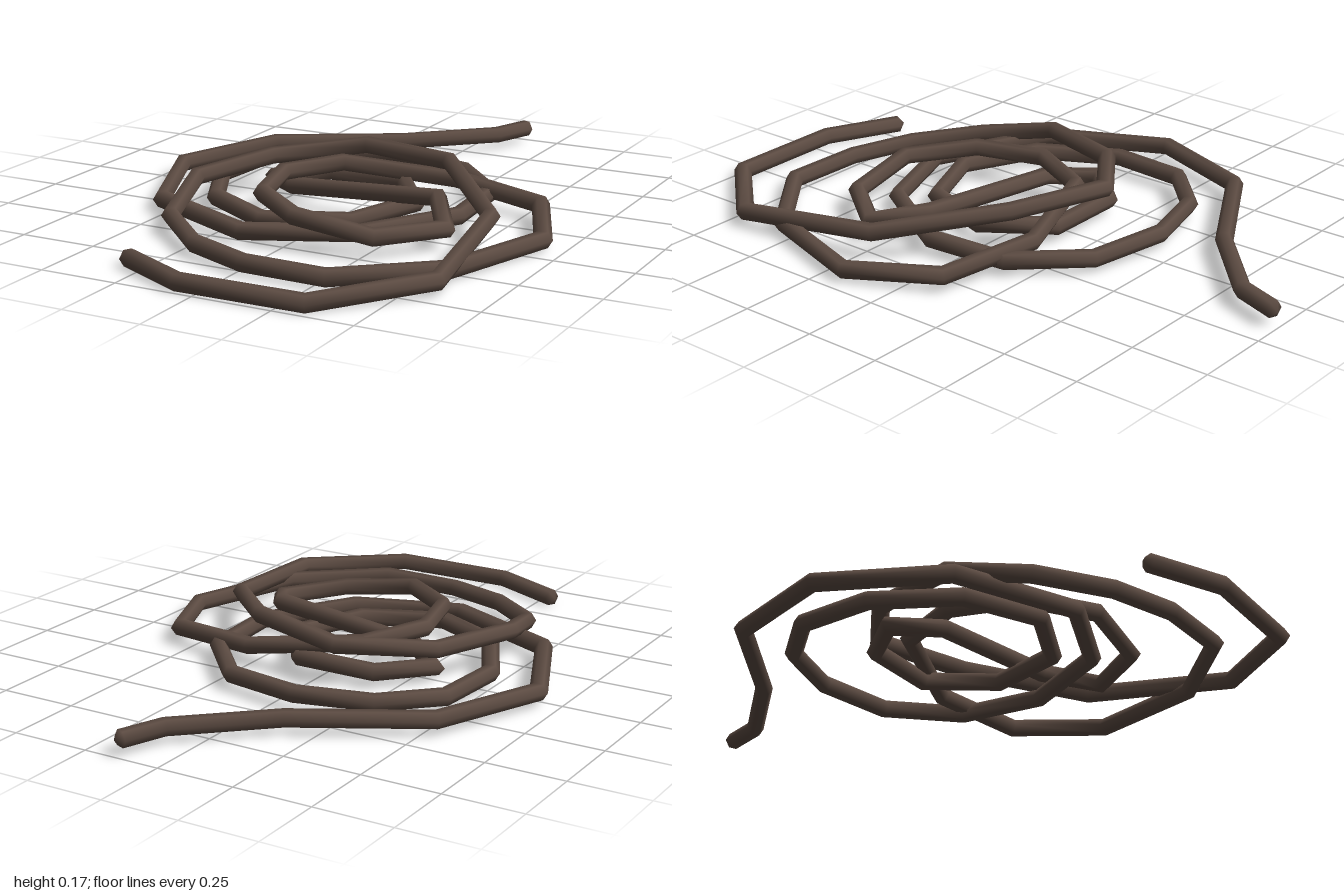
import * as THREE from 'three';

const RADIUS = 0.028, SIDES = 6;

// Centre line of the rope, x, y, z, from the back tail to the front tail
const PATH = [
  // back tail and wide lower loop
  [0.142, 0.05, -0.978], [0.09, 0.05, -0.84], [-0.16, 0.05, -0.61], [-0.54, 0.05, -0.395],
  [-0.685, 0.045, -0.03], [-0.52, 0.04, 0.347], [-0.13, 0.04, 0.525], [0.2, 0.045, 0.395],
  [0.38, 0.045, 0.1], [0.36, 0.045, -0.18], [0.18, 0.045, -0.375], [-0.08, 0.05, -0.43],
  // inner lower spiral
  [-0.32, 0.05, -0.37], [-0.475, 0.05, -0.22], [-0.495, 0.05, 0.03], [-0.365, 0.05, 0.28],
  [-0.13, 0.045, 0.405], [0.12, 0.045, 0.3], [0.212, 0.05, 0.05], [0.075, 0.05, -0.15],
  [-0.19, 0.05, -0.15], [-0.32, 0.05, -0.015],
  // strand across the middle and raised small loop
  [-0.19, 0.065, 0.1], [0.33, 0.105, 0.14], [0.43, 0.065, 0.3], [0.29, 0.07, 0.485],
  [0.04, 0.105, 0.505], [-0.15, 0.112, 0.36], [-0.21, 0.115, 0.13], [-0.11, 0.108, -0.08],
  // descending outer loop
  [0.24, 0.07, -0.19], [0.56, 0.05, -0.11], [0.685, 0.033, 0.17], [0.56, 0.033, 0.55],
  [0.29, 0.033, 0.77], [0.02, 0.033, 0.763], [-0.19, 0.038, 0.685], [-0.375, 0.053, 0.522],
  // top loop and front tail
  [-0.44, 0.105, 0.27], [-0.34, 0.115, -0.03], [-0.09, 0.138, -0.21], [0.25, 0.148, -0.11],
  [0.53, 0.09, 0.2], [0.59, 0.045, 0.685], [0.335, 0.026, 0.966], [-0.065, 0.025, 0.97],
  [-0.305, 0.026, 0.855],
].map((p) => new THREE.Vector3(...p));

// Sweeps a polygon along straight segments with mitred corners and short pointed ends
function sweep(path, radius, sides) {
  const pos = [], index = [], last = path.length - 1;
  const up = new THREE.Vector3(0, 1, 0);
  const direction = (i) => path[i + 1].clone().sub(path[i]).normalize();
  path.forEach((p, i) => {
    const before = direction(Math.max(i - 1, 0));
    const after = direction(Math.min(i, last - 1));
    const tangent = before.clone().add(after).normalize();
    const side = tangent.clone().cross(up).normalize();
    const rise = side.clone().cross(tangent);
    const mitre = radius / Math.max(tangent.dot(after), 0.6);
    for (let j = 0; j < sides; j++) {
      const a = (j / sides) * Math.PI * 2;
      const v = p.clone().addScaledVector(side, Math.cos(a) * mitre)
        .addScaledVector(rise, Math.sin(a) * radius);
      pos.push(v.x, v.y, v.z);
    }
  });
  const startTip = path[0].clone().addScaledVector(direction(0), -0.02);
  const endTip = path[last].clone().addScaledVector(direction(last - 1), 0.02);
  const tip = pos.length / 3;
  pos.push(...startTip.toArray(), ...endTip.toArray());
  for (let j = 0; j < sides; j++) {
    const k = (j + 1) % sides;
    for (let i = 0; i < last; i++) {
      const a = i * sides + j, b = i * sides + k;
      index.push(a, a + sides, b, b, a + sides, b + sides);
    }
    index.push(tip, j, k, tip + 1, last * sides + k, last * sides + j);
  }
  const geometry = new THREE.BufferGeometry();
  geometry.setAttribute('position', new THREE.Float32BufferAttribute(pos, 3));
  geometry.setIndex(index);
  geometry.computeVertexNormals();
  return geometry;
}

export function createModel() {
  const group = new THREE.Group();
  group.name = 'coiledRope';
  const brown = new THREE.MeshStandardMaterial({ color: 0x5c4b42 });
  brown.name = 'dark brown';
  const rope = new THREE.Mesh(sweep(PATH, RADIUS, SIDES), brown);
  rope.name = 'rope';
  group.add(rope);
  return group;
}
